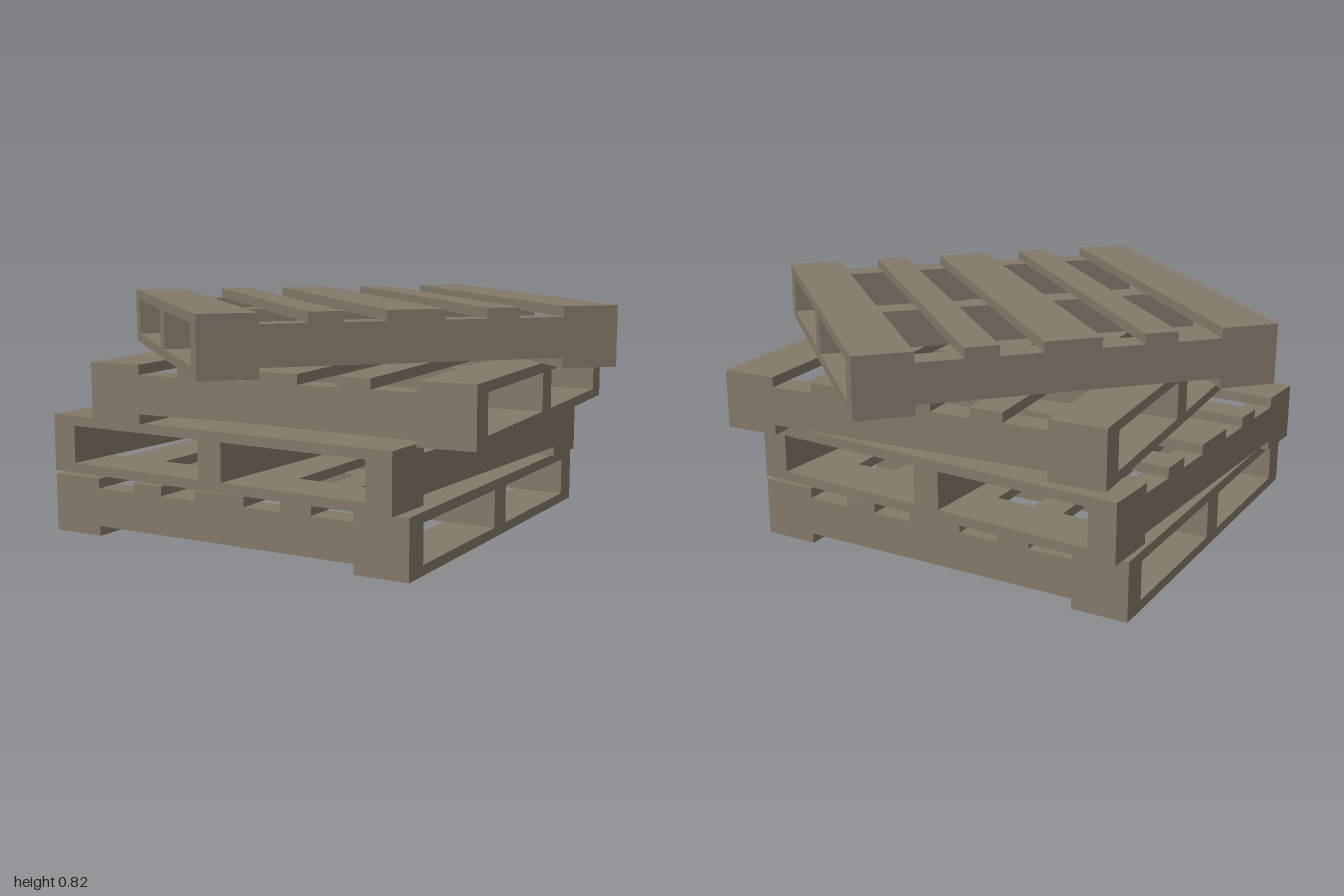
import * as THREE from 'three';

const SIZE = 1.41;      // side of a square pallet
const HEIGHT = 0.205;   // height of one pallet
const BOARD = 0.035;    // thickness of deck and base boards

const wood = new THREE.MeshStandardMaterial({ color: 0x84796a });
wood.name = 'weathered wood';

function box(parent, name, size, position) {
  const mesh = new THREE.Mesh(new THREE.BoxGeometry(...size), wood);
  mesh.name = name;
  mesh.position.set(...position);
  parent.add(mesh);
}

// One pallet: stringers run along x, boards run along z
function createPallet() {
  const pallet = new THREE.Group();

  // Three upright stringers
  const stringerWidth = 0.097;
  const stringerHeight = HEIGHT - 2 * BOARD;
  for (const side of [-1, 0, 1]) {
    box(pallet, 'stringer', [SIZE, stringerHeight, stringerWidth],
      [0, HEIGHT / 2, side * (SIZE - stringerWidth) / 2]);
  }

  // Five deck boards: wide at the ends and middle, narrow between
  const deck = [[-0.6075, 0.195], [-0.2975, 0.115], [0, 0.195], [0.2975, 0.115], [0.6075, 0.195]];
  for (const [x, width] of deck) {
    box(pallet, 'deckBoard', [width, BOARD, SIZE], [x, HEIGHT - BOARD / 2, 0]);
  }

  // Two base boards under the ends
  for (const side of [-1, 1]) {
    box(pallet, 'baseBoard', [0.195, BOARD, SIZE], [side * 0.6075, BOARD / 2, 0]);
  }
  return pallet;
}

export function createModel() {
  const stack = new THREE.Group();
  stack.name = 'palletStack';

  // x, z and turn of each pallet, from the ground up
  const layers = [
    [-0.1, 0.02, 0],
    [-0.112, 0.008, Math.PI / 2 - 0.05],
    [0.035, -0.015, 0.068],
    [0, 0, 0.803],
  ];
  layers.forEach(([x, z, turn], i) => {
    const pallet = createPallet();
    pallet.name = `pallet${i + 1}`;
    pallet.position.set(x, i * HEIGHT, z);
    pallet.rotation.y = turn;
    stack.add(pallet);
  });
  return stack;
}
